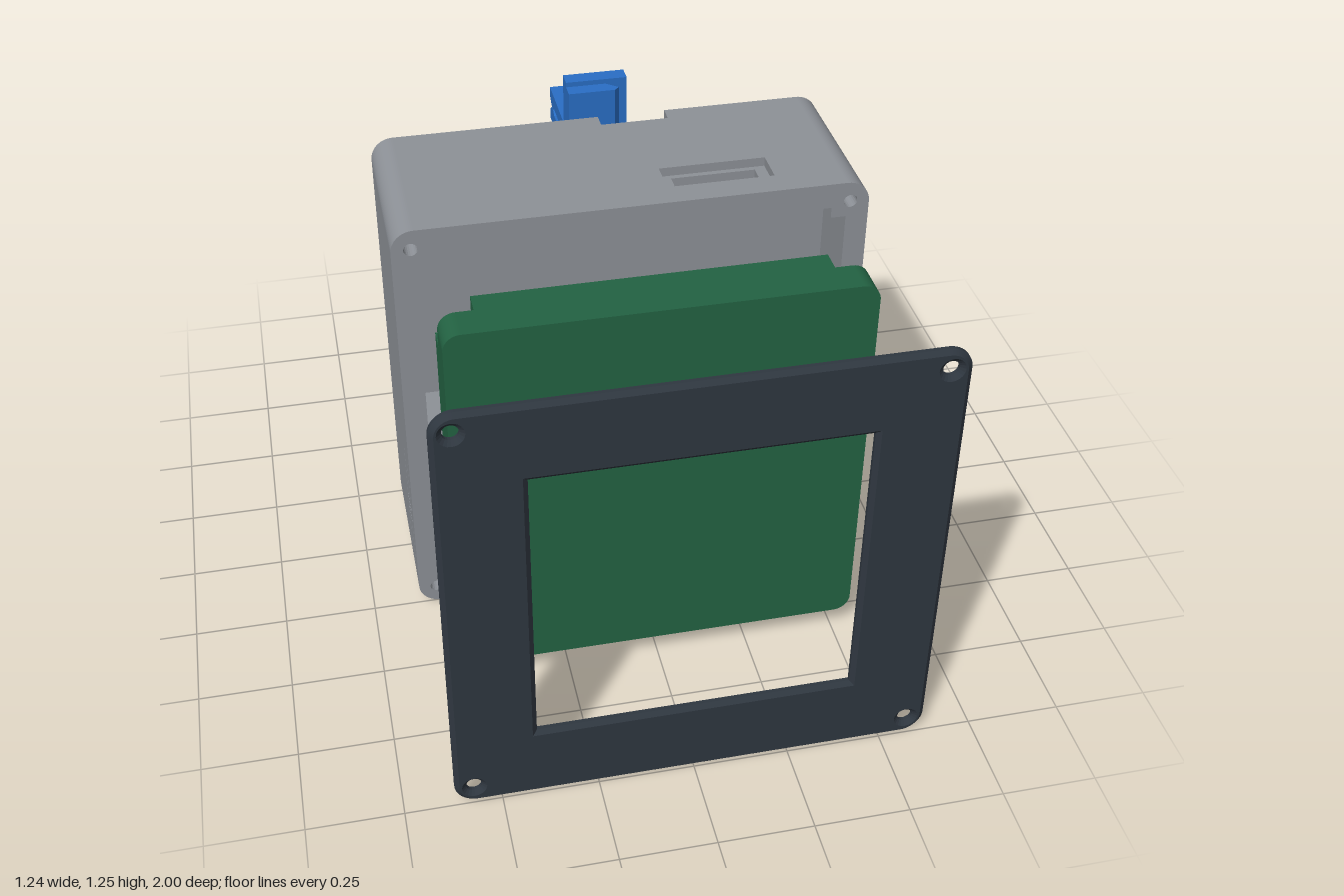
import * as THREE from 'three';

const colour = (name, hex) => {
  const m = new THREE.MeshStandardMaterial({ color: hex });
  m.name = name;
  return m;
};
const charcoal = colour('charcoal', 0x2f3740);
const green = colour('board green', 0x236343);
const grey = colour('case grey', 0x8e9298);
const blue = colour('clip blue', 0x2a6fc6);
const purple = colour('bracket purple', 0x814cba);
const red = colour('module red', 0xbb2d40);
const sky = colour('cell blue', 0x7aaedb);
const orange = colour('cover orange', 0xc9651c);

// ---- shape helpers ----
const poly = pts => new THREE.Shape(pts.map(p => new THREE.Vector2(p[0], p[1])));
const rect = (x0, x1, y0, y1) => poly([[x0, y0], [x1, y0], [x1, y1], [x0, y1]]);
const disc = (x, y, r) => new THREE.Shape().absarc(x, y, r, 0, Math.PI * 2, false);

// Rounded rectangle, optionally with a notch cut in its top edge
function rounded(x0, x1, y0, y1, r, notch) {
  const s = new THREE.Shape();
  s.absarc(x0 + r, y0 + r, r, Math.PI, Math.PI * 1.5, false);
  s.absarc(x1 - r, y0 + r, r, Math.PI * 1.5, Math.PI * 2, false);
  s.absarc(x1 - r, y1 - r, r, 0, Math.PI / 2, false);
  if (notch) {
    s.lineTo(notch.x1, y1);
    s.lineTo(notch.x1, notch.y);
    s.lineTo(notch.x0, notch.y);
    s.lineTo(notch.x0, y1);
  }
  s.absarc(x0 + r, y1 - r, r, Math.PI / 2, Math.PI, false);
  s.closePath();
  return s;
}

// Extrude from a to b; bevels stay inside the outline
function extrude(shape, holes, a, b, bevel = 0) {
  shape.holes.push(...holes);
  const g = new THREE.ExtrudeGeometry(shape, {
    depth: b - a - 2 * bevel, curveSegments: 10, bevelEnabled: bevel > 0,
    bevelThickness: bevel, bevelSize: bevel * 1.2, bevelOffset: -bevel * 1.2, bevelSegments: 1,
  });
  return g.translate(0, 0, a + bevel);
}
// Side profile: shape drawn as (-z, y), extruded along x
const sideways = (shape, holes, x0, x1) => extrude(shape, holes, x0, x1).rotateY(Math.PI / 2);
// Plan profile: shape drawn as (x, -z), extruded along y
const upward = (shape, holes, y0, y1) => extrude(shape, holes, y0, y1).rotateX(-Math.PI / 2);
const box = (x0, x1, y0, y1, z0, z1) => new THREE.BoxGeometry(x1 - x0, y1 - y0, z1 - z0)
  .translate((x0 + x1) / 2, (y0 + y1) / 2, (z0 + z1) / 2);

const W = 0.62, H = 1.245;

export function createModel() {
  const model = new THREE.Group();
  const part = name => {
    const g = new THREE.Group();
    g.name = name;
    model.add(g);
    return g;
  };
  const add = (group, name, geometry, material) => {
    const m = new THREE.Mesh(geometry, material);
    m.name = name;
    group.add(m);
  };
  const corners = (dx, y0, y1) => [[-dx, y0], [dx, y0], [dx, y1], [-dx, y1]];

  // Front bezel with bevelled opening and countersunk holes
  const bezel = part('frontBezel');
  add(bezel, 'bezelFrame', extrude(rounded(-W, W, 0, H, 0.06),
    [rect(-0.405, 0.405, 0.22, 1.03), ...corners(0.57, 0.055, 1.19).map(c => disc(c[0], c[1], 0.02))],
    0.97, 1, 0.01), charcoal);

  // Display module: rounded front, notched corners at the back
  const display = part('displayModule');
  add(display, 'displayFace', extrude(rounded(-0.54, 0.54, 0.08, 1.165, 0.045), [], 0.56, 0.6), green);
  add(display, 'displayCorners', extrude(rounded(-0.54, 0.54, 0.08, 1.165, 0.045),
    corners(0.495, 0.127, 1.118).map(c => disc(c[0], c[1], 0.022)), 0.505, 0.56), green);
  add(display, 'displayBack', extrude(poly([
    [-0.45, 0.08], [0.45, 0.08], [0.45, 0.175], [0.54, 0.175], [0.54, 1.07], [0.45, 1.07],
    [0.45, 1.165], [-0.45, 1.165], [-0.45, 1.07], [-0.54, 1.07], [-0.54, 0.175], [-0.45, 0.175]]),
  [], 0.445, 0.505), green);
  add(display, 'displayLowerTab', box(-0.42, 0.42, 0.07, 0.09, 0.455, 0.505), green);

  // Case: layers from the back skin to the floor of the front cavity
  const housing = part('case');
  const pockets = () => [
    ...[[0.98, 1.19], [0.555, 0.73], [0.36, 0.535]].flatMap(([a, b]) =>
      [rect(0.42, 0.58, a, b), rect(0.25, 0.4, a, b)]),
    rect(-0.41, -0.05, 0.98, 1.19), rect(-0.59, -0.43, 0.98, 1.19), rect(-0.59, -0.505, 0.05, 0.28),
  ];
  add(housing, 'backSkin', extrude(rounded(-W, W, 0, H, 0.06, { x0: 0, x1: 0.185, y: 0.76 }),
    [...pockets(), rect(-0.58, -0.03, 0.375, 0.73), rect(-0.48, 0.47, 0.015, 0.325)], -0.225, -0.18), grey);
  add(housing, 'backBlock', extrude(rounded(-W, W, 0, H, 0.06),
    [...pockets(), rect(-0.56, -0.065, 0.44, 0.62), rect(-0.4, 0.45, 0.045, 0.285),
      disc(-0.13, 0.67, 0.014), disc(-0.48, 0.67, 0.014), disc(0.06, 0.8, 0.014)], -0.18, 0.04), grey);
  add(housing, 'cavityFloor', extrude(rounded(-W, W, 0, H, 0.06),
    [rect(-0.56, -0.49, 0.48, 0.61)], 0.04, 0.075), grey);

  // Four corner posts with screw holes
  for (const sx of [-1, 1]) for (const top of [0, 1]) {
    const x0 = sx < 0 ? -W : W - 0.1, y0 = top ? H - 0.1 : 0;
    const s = new THREE.Shape();
    const r = 0.06, cx = sx * (W - r), cy = top ? H - r : r;
    const quarter = sx > 0 ? (top ? 0 : 3) : (top ? 1 : 2);
    s.absarc(cx, cy, r, quarter * Math.PI / 2, (quarter + 1) * Math.PI / 2, false);
    const ends = [[x0 + 0.1, y0 + 0.1], [x0, y0 + 0.1], [x0, y0], [x0 + 0.1, y0]];
    for (let k = 1; k < 4; k++) s.lineTo(...ends[(quarter + k) % 4]);
    s.closePath();
    add(housing, 'cornerPost', extrude(s, [disc(sx * 0.57, top ? 1.19 : 0.055, 0.018)], 0.075, 0.25), grey);
  }

  // Side walls with U-shaped spring cuts
  const springCut = (bar, end) => {
    const d = Math.sign(end - bar) * 0.01;
    return poly([[-0.19, bar], [-0.102, bar], [-0.102, end], [-0.112, end],
      [-0.112, bar + d], [-0.18, bar + d], [-0.18, end], [-0.19, end]]);
  };
  for (const x of [-W, W - 0.06]) {
    add(housing, 'sideWall', sideways(rect(-0.25, -0.075, 0.1, H - 0.1),
      [springCut(0.285, 0.455), springCut(0.257, 0.103)], x, x + 0.06), grey);
  }
  // Top wall with a stepped slot, bottom wall with a port
  const wall = () => rect(-W + 0.1, W - 0.1, -0.25, -0.075);
  add(housing, 'topWallOuter', upward(wall(), [rect(0.1, 0.385, -0.175, -0.08)], H - 0.025, H), grey);
  add(housing, 'topWallInner', upward(wall(), [rect(0.13, 0.355, -0.155, -0.095)], H - 0.07, H - 0.025), grey);
  add(housing, 'bottomWall', upward(wall(), [rect(-0.13, 0.07, -0.18, -0.09)], 0, 0.065), grey);

  // Battery cell
  const cell = part('batteryCell');
  add(cell, 'cell', new THREE.CylinderGeometry(0.113, 0.113, 0.81, 48)
    .rotateZ(Math.PI / 2).translate(0.025, 0.165, -0.41), sky);

  // Battery cover with end grooves and a sloped finger grip
  const cover = part('batteryCover');
  add(cover, 'coverInner', box(-0.48, 0.465, 0, 0.32, -0.59, -0.585), orange);
  add(cover, 'coverOuter', extrude(rect(-0.48, 0.465, 0, 0.32), [
    rect(-0.19, 0.17, 0.08, 0.23), rect(-0.445, -0.43, 0.06, 0.3), rect(0.42, 0.435, 0.06, 0.3),
  ], -0.607, -0.59), orange);
  add(cover, 'gripSlope', sideways(poly([[0.59, 0.08], [0.606, 0.08], [0.598, 0.11],
    [0.593, 0.15], [0.59, 0.2]]), [], -0.19, 0.17), orange);

  // Charger bracket: plate with two arms
  const bracket = part('chargerBracket');
  add(bracket, 'bracketPlate', extrude(rect(-0.57, -0.04, 0.38, 0.715),
    [disc(-0.13, 0.655, 0.022), disc(-0.48, 0.655, 0.022), rect(-0.37, -0.25, 0.53, 0.565)],
    -0.622, -0.598, 0.008), purple);
  for (const [a, b] of [[-0.555, -0.44], [-0.18, -0.07]]) {
    add(bracket, 'bracketArmLower', box(a, b, 0.49, 0.52, -0.6, -0.375), purple);
    add(bracket, 'bracketArmUpper', box(a, b, 0.585, 0.61, -0.6, -0.375), purple);
  }
  add(bracket, 'bracketArmLeft', box(-0.1, -0.07, 0.49, 0.61, -0.6, -0.375), purple);
  add(bracket, 'bracketArmRight', box(-0.555, -0.52, 0.49, 0.61, -0.6, -0.375), purple);

  // Charger module held between the arms
  const charger = part('chargerModule');
  add(charger, 'chargerBoard', box(-0.52, -0.105, 0.52, 0.585, -0.598, -0.335), red);
  add(charger, 'chargerPort', box(-0.365, -0.255, 0.535, 0.56, -0.615, -0.59), red);

  // Rear clip: back plate, dovetail and two sprung prongs
  const clip = part('rearClip');
  add(clip, 'clipPlate', box(0, 0.185, 0.66, 1.1, -0.76, -0.71), blue);
  add(clip, 'clipDovetail', upward(poly([[0, 0.665], [0.14, 0.665], [0.155, 0.68],
    [0.12, 0.71], [0, 0.71]]), [], 0.675, 1.085), blue);
  add(clip, 'clipBump', new THREE.SphereGeometry(0.01, 12, 8).translate(0.065, 0.735, -0.663), blue);
  for (const s of [1, -1]) {
    const pts = [[0.755, 0.012], [0.93, 0.012], [0.95, 0.002], [0.975, 0.002], [1, 0.02], [1, 0.055], [0.755, 0.055]];
    add(clip, 'clipProng', sideways(poly(pts.map(([u, v]) => [u, 0.882 + s * v])), [], 0, 0.185), blue);
  }
  return model;
}
